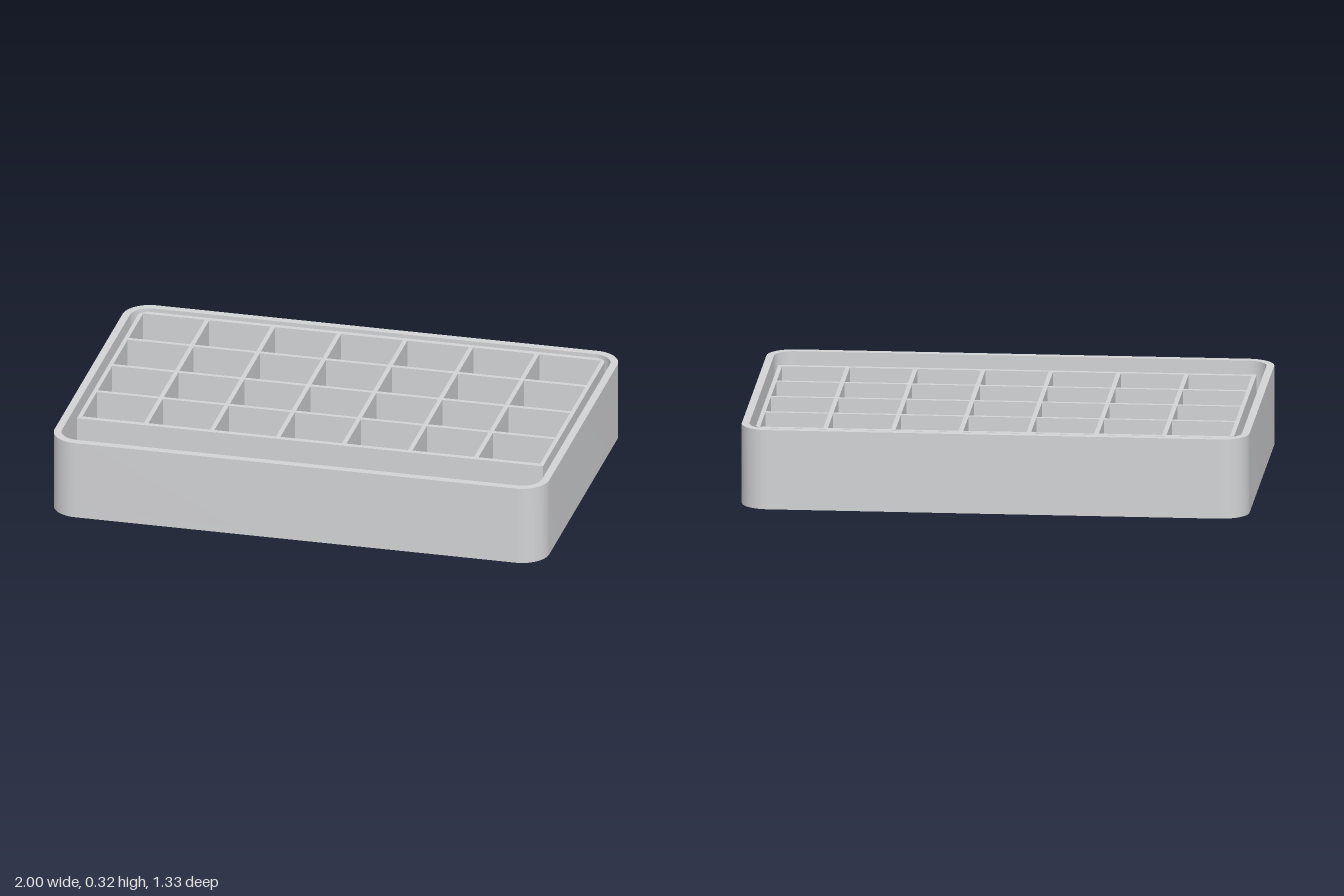
import * as THREE from 'three';
import { toCreasedNormals } from 'three/addons/utils/BufferGeometryUtils.js';

const mat = (name, color) => new THREE.MeshStandardMaterial({ name, color });

// Rectangle outline in plan (shape y = -z), with separate back and front corner radii
function outline(Type, x0, x1, zBack, zFront, rBack, rFront) {
  const p = new Type(), t = -zBack, b = -zFront, H = Math.PI / 2;
  const corner = (cx, cy, r, a) => {
    if (r > 0) p.absarc(cx, cy, r, a, a + H, false);
    else p.lineTo(cx, cy);
  };
  p.moveTo(x0 + rFront, b);
  corner(x1 - rFront, b + rFront, rFront, -H);
  corner(x1 - rBack, t - rBack, rBack, 0);
  corner(x0 + rBack, t - rBack, rBack, H);
  corner(x0 + rFront, b + rFront, rFront, 2 * H);
  p.closePath();
  return p;
}

// Raise a plan outline from y0 to y1
function raise(name, shape, y0, y1, material) {
  const geo = new THREE.ExtrudeGeometry(shape, { depth: y1 - y0, bevelEnabled: false, curveSegments: 14 });
  geo.rotateX(-Math.PI / 2);
  geo.translate(0, y0, 0);
  const mesh = new THREE.Mesh(toCreasedNormals(geo, 0.5), material);
  mesh.name = name;
  return mesh;
}

function block(name, x0, x1, y0, y1, z0, z1, material) {
  const mesh = new THREE.Mesh(new THREE.BoxGeometry(x1 - x0, y1 - y0, z1 - z0), material);
  mesh.position.set((x0 + x1) / 2, (y0 + y1) / 2, (z0 + z1) / 2);
  mesh.name = name;
  return mesh;
}

export function createModel() {
  const model = new THREE.Group();
  model.name = 'compartmentBox';
  const grey = mat('light grey', 0xd2d3d5);
  const dark = mat('dark grey', 0x626262);
  const blue = mat('blue', 0x648aaf);
  const height = 0.32, floor = 0.03;

  // Outer box: floor slab and a rounded wall ring
  const base = () => outline(THREE.Shape, -1, 1, -0.667, 0.667, 0.11, 0.11);
  model.add(raise('boxFloor', base(), 0, floor, grey));
  const ring = base();
  ring.holes.push(outline(THREE.Path, -0.97, 0.97, -0.635, 0.635, 0.08, 0.08));
  model.add(raise('boxWall', ring, floor, height, grey));

  // Divider insert: 7 by 4 open cells, each with a dark lining at the bottom
  const cols = 7, rows = 4, gap = 0.018;
  const left = -0.925, back = -0.59;
  const w = (-2 * left - gap * (cols - 1)) / cols;
  const d = (0.995 - gap * (rows - 1)) / rows;
  const insert = outline(THREE.Shape, -0.942, 0.942, -0.612, 0.427, 0.04, 0);
  const linings = new THREE.Group();
  linings.name = 'cellLinings';
  for (let r = 0; r < rows; r++) {
    for (let c = 0; c < cols; c++) {
      const x = left + c * (w + gap), z = back + r * (d + gap);
      insert.holes.push(outline(THREE.Path, x, x + w, z, z + d, 0, 0));
      linings.add(block('cellLining', x, x + w, floor, 0.075, z, z + d, dark));
    }
  }
  model.add(raise('dividerGrid', insert, floor, 0.315, grey), linings);

  // Blue bar lying in the front trough
  model.add(block('frontBar', -0.86, 0.86, floor, 0.11, 0.449, 0.634, blue));
  return model;
}
